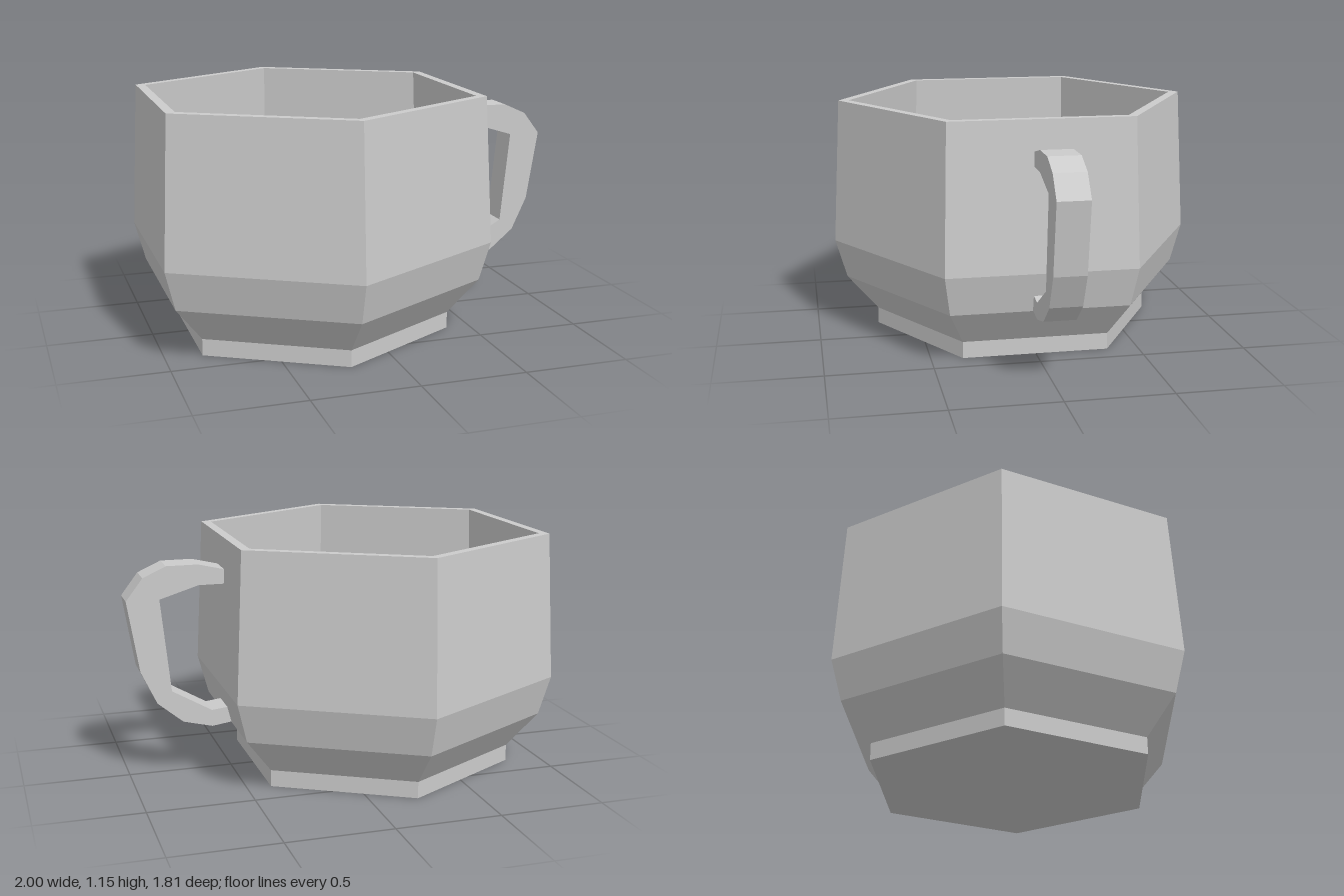
import * as THREE from 'three';

export function createModel() {
  const group = new THREE.Group();
  const material = new THREE.MeshStandardMaterial({ color: 0xcccccc, flatShading: true });

  // Hollow six-sided cup: underside, foot, belly, rim, inner wall, floor
  const profile = [
    [0, 0], [0.7, 0], [0.7, 0.08], [0.85, 0.255], [0.905, 0.445], [0.866, 1.15],
    [0.815, 1.15], [0.85, 0.445], [0.805, 0.28], [0.655, 0.12], [0, 0.12],
  ].map(([r, y]) => new THREE.Vector2(r, y));
  const cup = new THREE.Mesh(new THREE.LatheGeometry(profile, 6), material);
  cup.name = 'cup';
  cup.position.x = -0.22;
  group.add(cup);

  // Angular handle: outer edge from top to bottom, then inner edge back up
  const outline = [
    [0.525, 1.003], [0.66, 1.035], [0.81, 1.035], [0.92, 0.985], [1.0, 0.88],
    [0.945, 0.54], [0.87, 0.38], [0.75, 0.28], [0.61, 0.245], [0.505, 0.26],
    [0.525, 0.335], [0.61, 0.325], [0.8, 0.435], [0.845, 0.88], [0.66, 0.937], [0.525, 0.937],
  ].map(([x, y]) => new THREE.Vector2(x, y));
  const handle = new THREE.Mesh(
    new THREE.ExtrudeGeometry(new THREE.Shape(outline), { depth: 0.15, bevelEnabled: false }),
    material
  );
  handle.name = 'handle';
  handle.position.z = -0.11;
  group.add(handle);

  return group;
}
